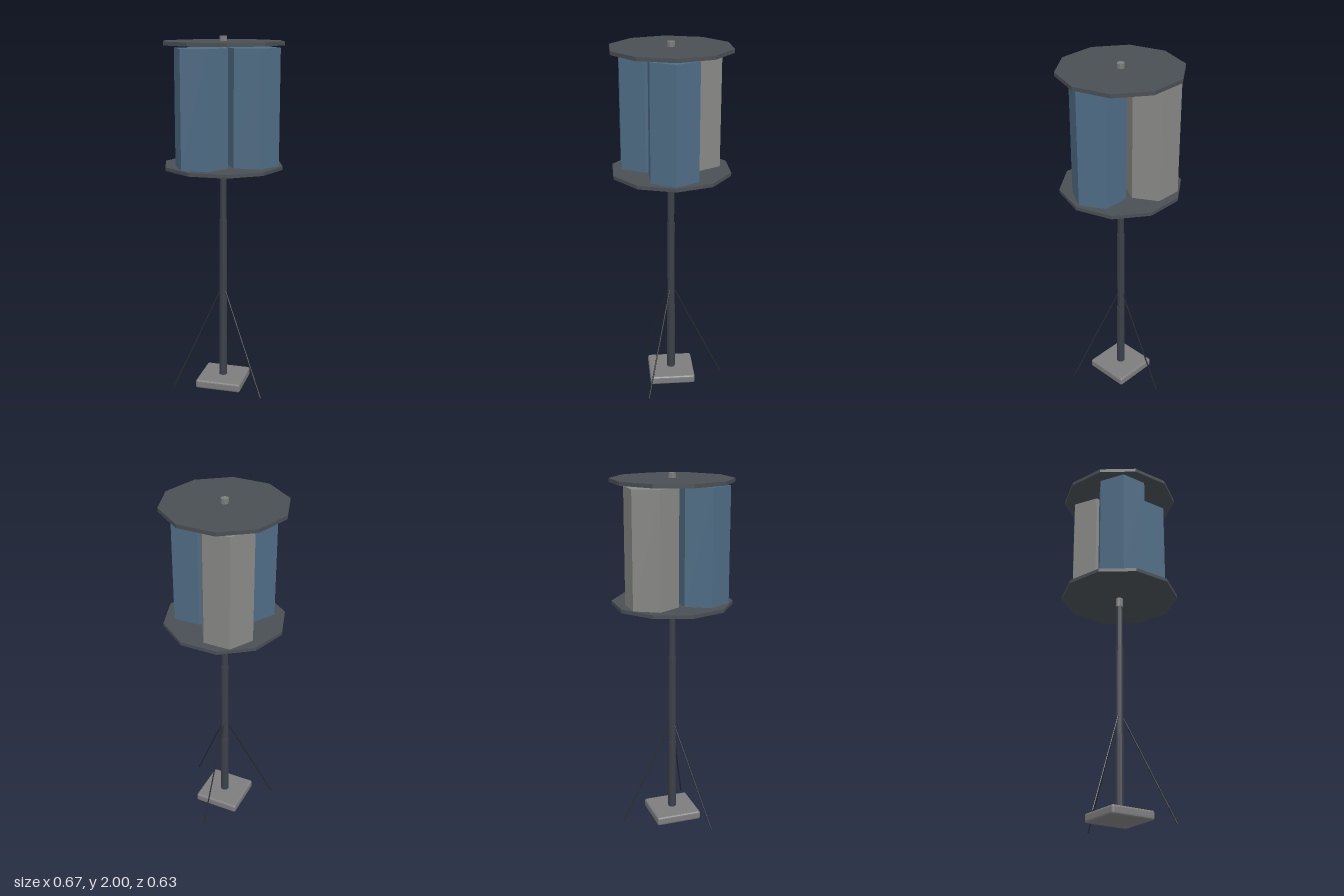
import * as THREE from 'three';
import { RoundedBoxGeometry } from 'three/addons/geometries/RoundedBoxGeometry.js';

function material(name, color) {
  const m = new THREE.MeshStandardMaterial({ color, flatShading: true });
  m.name = name;
  return m;
}

export function createModel() {
  const model = new THREE.Group();
  model.name = 'windTurbine';

  const blue = material('steelBlue', 0x4f6c85);
  const paleGrey = material('paleGrey', 0x888886);
  const grey = material('metalGrey', 0x7c7d7c);
  const slate = material('slate', 0x4a4f54);
  const dark = material('darkMast', 0x3b4048);
  const black = material('wireBlack', 0x26282b);

  // Upright prism between two heights, with a corner (or flat) turned to +x
  function prism(name, mat, radius, y0, y1, sides, x = 0, z = 0, turn = Math.PI / 2) {
    const geometry = new THREE.CylinderGeometry(radius, radius, y1 - y0, sides);
    geometry.rotateY(turn);
    const mesh = new THREE.Mesh(geometry, mat);
    mesh.position.set(x, (y0 + y1) / 2, z);
    mesh.name = name;
    model.add(mesh);
  }

  // Base block
  const base = new THREE.Mesh(new RoundedBoxGeometry(0.262, 0.05, 0.262, 2, 0.012), grey);
  base.position.y = 0.033;
  base.name = 'base';
  model.add(base);

  // Telescoping mast and rotor shaft
  prism('lowerMast', dark, 0.0235, 0.05, 0.47, 12);
  prism('middleMast', dark, 0.0215, 0.47, 0.99, 12);
  prism('upperMast', dark, 0.0185, 0.99, 1.24, 12);
  prism('rotorShaft', grey, 0.0205, 1.24, 2.0, 8, 0, 0, Math.PI / 8);

  // Rotor end plates
  prism('lowerPlate', slate, 0.333, 1.293, 1.312, 10);
  prism('upperPlate', slate, 0.333, 1.953, 1.973, 10);

  // Three hexagonal rotor drums around the shaft
  [blue, blue, paleGrey].forEach((mat, i) => {
    const a = (i * Math.PI * 2) / 3;
    prism('rotorDrum' + (i + 1), mat, 0.147, 1.305, 1.94, 6,
      0.165 * Math.cos(a), 0.165 * Math.sin(a));
  });

  // Three guy wires, one to the back and two to the front
  for (let i = 0; i < 3; i++) {
    const a = -Math.PI / 2 + (i * Math.PI * 2) / 3;
    const at = (r, y) => new THREE.Vector3(r * Math.cos(a), y, r * Math.sin(a));
    const path = new THREE.LineCurve3(at(0.298, 0.003), at(0.015, 0.58));
    const wire = new THREE.Mesh(new THREE.TubeGeometry(path, 1, 0.004, 6), black);
    wire.name = 'guyWire' + (i + 1);
    model.add(wire);
  }

  return model;
}
